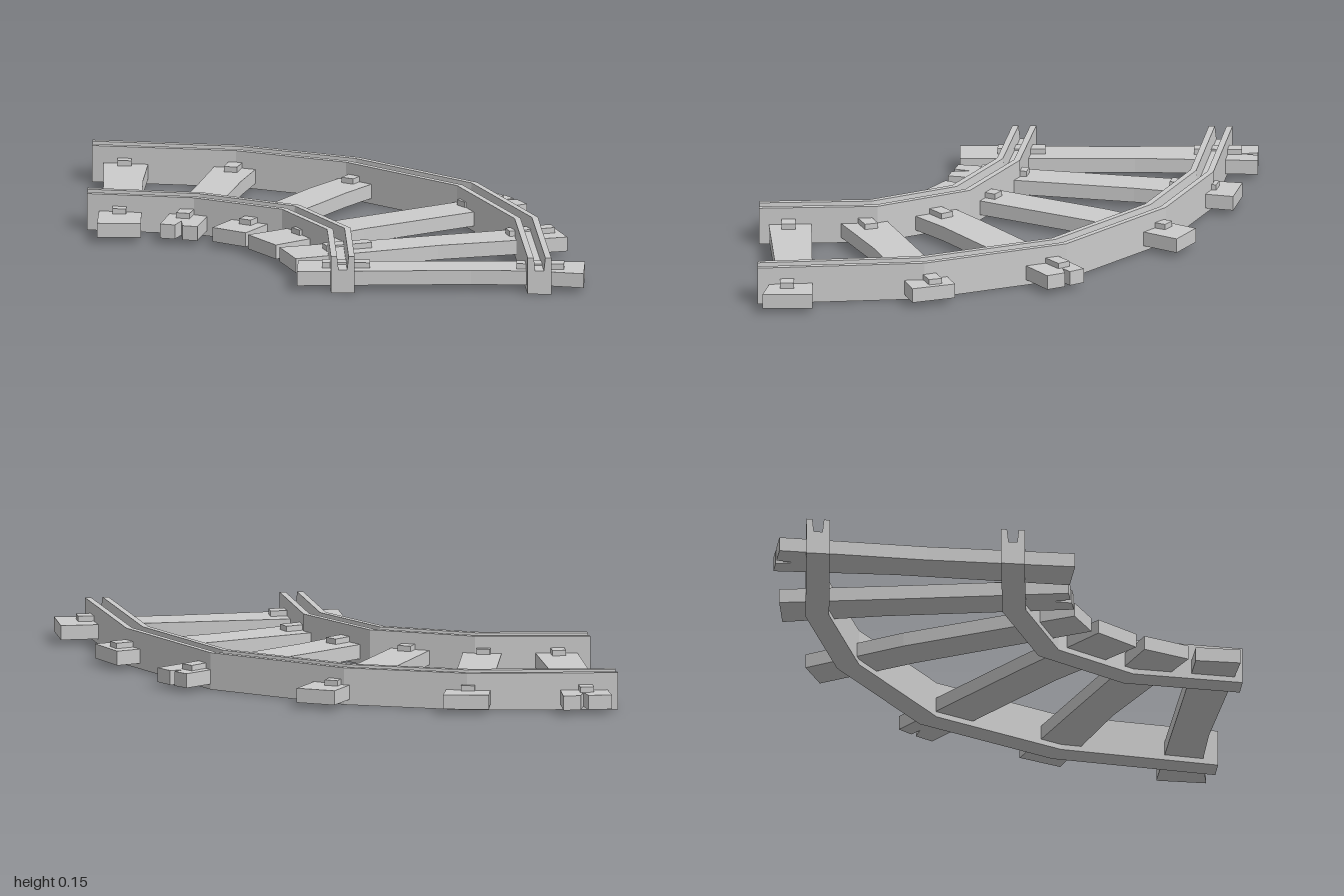
import * as THREE from 'three';

const material = new THREE.MeshStandardMaterial({ color: 0xcccccc, flatShading: true });

// U-shaped rail section: [sideways offset, height], counter-clockwise
const RAIL = [
  [-0.047, 0.003], [0.047, 0.003], [0.047, 0.152], [0.023, 0.152],
  [0.017, 0.098], [-0.017, 0.098], [-0.023, 0.152], [-0.047, 0.152],
];

// Sweep the rail section along a path of [x, z] points with mitred corners
function railGeometry(path) {
  const last = path.length - 1;
  const normals = path.slice(1).map(([x, z], i) =>
    new THREE.Vector2(path[i][1] - z, x - path[i][0]).normalize());
  const sections = path.map(([x, z], i) => {
    // the two ends are cut square to the x and z axes
    let mitre;
    if (i === 0) mitre = new THREE.Vector2(0, 1);
    else if (i === last) mitre = new THREE.Vector2(-1, 0);
    else mitre = normals[i - 1].clone().add(normals[i]).normalize();
    const stretch = 1 / mitre.dot(normals[Math.min(i, last - 1)]);
    return RAIL.map(([o, y]) => [x + mitre.x * o * stretch, y, z + mitre.y * o * stretch]);
  });

  const positions = [];
  const tri = (a, b, c) => positions.push(...a, ...b, ...c);
  for (let i = 0; i < last; i++) {
    const s = sections[i], t = sections[i + 1];
    RAIL.forEach((_, j) => {
      const k = (j + 1) % RAIL.length;
      tri(s[j], t[j], t[k]);
      tri(s[j], t[k], s[k]);
    });
  }
  const outline = RAIL.map(([o, y]) => new THREE.Vector2(o, y));
  for (const [a, b, c] of THREE.ShapeUtils.triangulateShape(outline, [])) {
    tri(sections[0][a], sections[0][b], sections[0][c]);
    tri(sections[last][a], sections[last][c], sections[last][b]);
  }
  const geometry = new THREE.BufferGeometry();
  geometry.setAttribute('position', new THREE.Float32BufferAttribute(positions, 3));
  geometry.computeVertexNormals();
  return geometry;
}

// Plank extruded downwards from a plan outline of [x, z] points
function tieGeometry(outline, bottom, top) {
  const shape = new THREE.Shape(outline.map(([x, z]) => new THREE.Vector2(x, z)));
  return new THREE.ExtrudeGeometry(shape, { depth: top - bottom, bevelEnabled: false })
    .rotateX(Math.PI / 2).translate(0, top, 0);
}

const RAILS = {
  outerRail: [[-1, -0.84], [-0.415, -0.77], [0.04, -0.59], [0.505, -0.21], [0.755, 0.335], [0.825, 0.985]],
  innerRail: [[-1, -0.06], [-0.56, 0], [-0.185, 0.185], [0.015, 0.53], [0.043, 0.985]],
};

// Each tie: plan outline (some with a split end) and its outer and inner clamp centres
const TIES = [
  { outline: [[-0.96, -0.99], [-0.866, -0.99], [-0.855, -0.92], [-0.835, -0.99], [-0.765, -0.99],
      [-0.79, -0.5], [-0.78, 0.195], [-0.955, 0.195], [-0.945, -0.4]],
    clamps: [[-0.87, -0.83], [-0.87, -0.05]] },
  { outline: [[-0.475, -0.93], [-0.295, -0.895], [-0.4, -0.5], [-0.555, 0.24], [-0.615, 0.225],
      [-0.62, 0.15], [-0.645, 0.215], [-0.705, 0.2], [-0.57, -0.45]],
    clamps: [[-0.425, -0.74], [-0.595, 0.015]] },
  { outline: [[0.12, -0.75], [0.26, -0.675], [0.02, -0.32], [-0.36, 0.335], [-0.495, 0.25], [-0.13, -0.39]],
    clamps: [[0.07, -0.56], [-0.32, 0.12]] },
  { outline: [[0.65, -0.31], [0.69, -0.255], [0.65, -0.225], [0.705, -0.235], [0.745, -0.165],
      [0.11, 0.255], [-0.235, 0.53], [-0.35, 0.365], [0.03, 0.1]],
    clamps: [[0.56, -0.175], [-0.085, 0.295]] },
  { outline: [[0.855, 0.2], [0.92, 0.37], [0.41, 0.52], [-0.15, 0.75], [-0.22, 0.565], [0.38, 0.36]],
    clamps: [[0.77, 0.31], [0.05, 0.57]] },
  { outline: [[-0.14, 0.78], [0.57, 0.77], [1, 0.765], [1, 0.965], [0.8, 0.925], [0.55, 0.92], [-0.14, 0.96]],
    clamps: [[0.825, 0.868], [0.053, 0.868]] },
];

export function createModel() {
  const model = new THREE.Group();
  model.name = 'curvedTrack';
  const add = (name, geometry) => {
    const mesh = new THREE.Mesh(geometry, material);
    mesh.name = name;
    model.add(mesh);
    return mesh;
  };

  for (const [name, path] of Object.entries(RAILS)) add(name, railGeometry(path));

  TIES.forEach(({ outline, clamps }, i) => {
    add(`tie${i + 1}`, tieGeometry(outline, 0.025, 0.083));
    // clamps lie along the tie, crossing beneath each rail
    const [[ax, az], [bx, bz]] = clamps;
    const angle = Math.atan2(bz - az, ax - bx);
    clamps.forEach(([x, z], j) => {
      const clamp = add(`${j ? 'inner' : 'outer'}Clamp${i + 1}`, new THREE.BoxGeometry(0.19, 0.03, 0.055));
      clamp.position.set(x, 0.09, z);
      clamp.rotation.y = angle;
    });
  });

  // settle the rails on the ground
  model.children.forEach((part) => { part.position.y -= 0.003; });
  return model;
}
